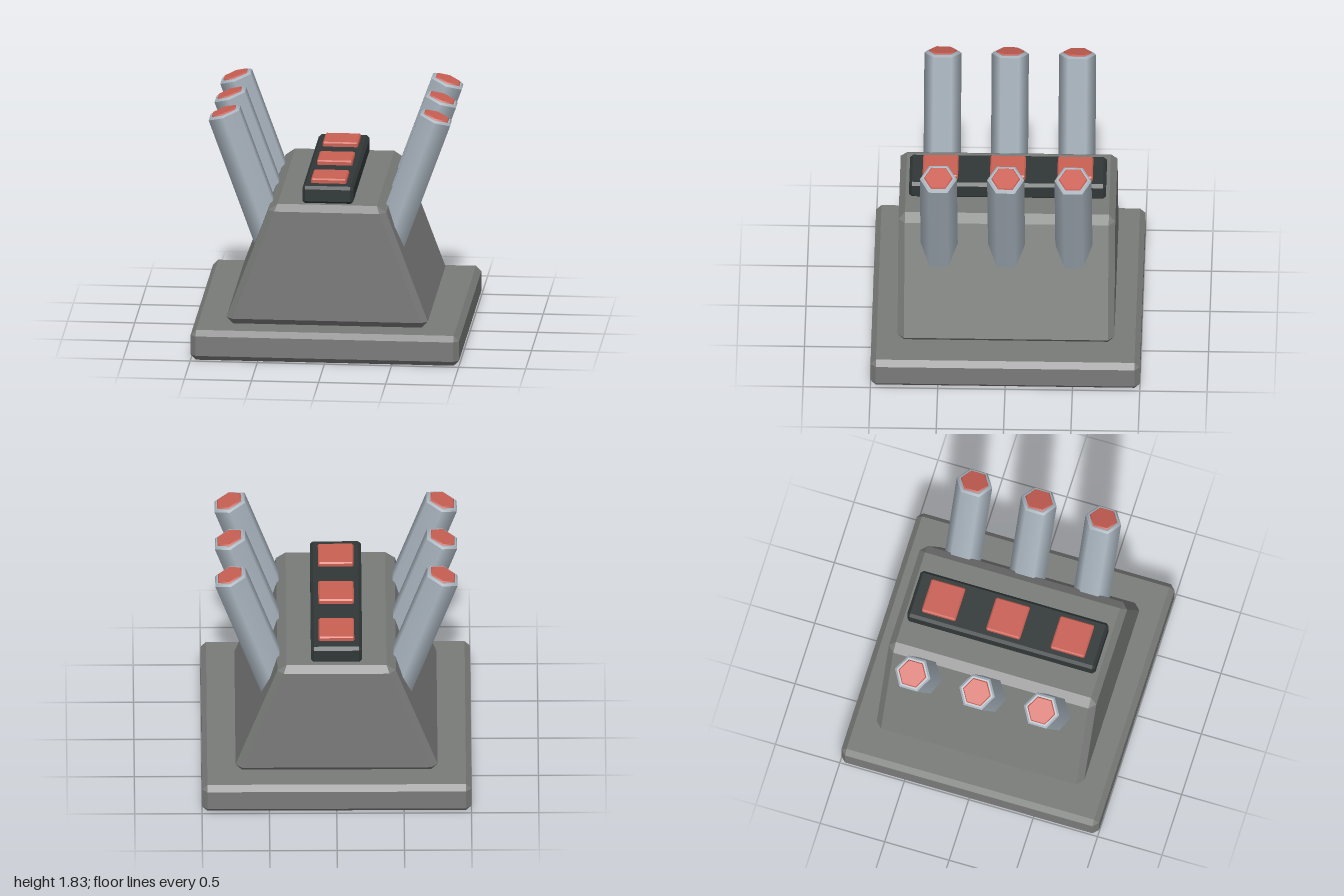
import * as THREE from 'three';
import { ConvexGeometry } from 'three/addons/geometries/ConvexGeometry.js';

const mat = (name, color) => new THREE.MeshStandardMaterial({ name, color });

// Block with all edges chamfered by c; the sides may taper in x from bottom to top.
function chamferedBlock(xBottom, xTop, y0, y1, hz, c, cTop = c) {
  const points = [];
  const add = (x, y, z) => {
    for (const sx of [-1, 1]) for (const sz of [-1, 1]) points.push(new THREE.Vector3(sx * x, y, sz * z));
  };
  add(xBottom - c, y0, hz - c);
  add(xBottom, y0 + c, hz - c);
  add(xBottom - c, y0 + c, hz);
  add(xTop, y1 - c, hz - c);
  add(xTop - c, y1 - c, hz);
  add(xTop - cTop, y1, hz - c);
  return new ConvexGeometry(points);
}

export function createModel() {
  const model = new THREE.Group();
  model.name = 'model';
  const grey = mat('stone grey', 0x797b79);
  const steel = mat('pale steel', 0xa9b4be);
  const dark = mat('dark panel', 0x313838);
  const red = mat('button red', 0xca6054);

  const part = (name, geometry, material, parent = model) => {
    const mesh = new THREE.Mesh(geometry, material);
    mesh.name = name;
    parent.add(mesh);
    return mesh;
  };

  // Base slab, tapered body and top panel
  part('base', chamferedBlock(1, 1, 0, 0.23, 1, 0.04), grey);
  part('body', chamferedBlock(0.75, 0.44, 0.23, 1.16, 0.805, 0.048, 0.07), grey);
  part('panel', chamferedBlock(0.19, 0.19, 1.155, 1.29, 0.73, 0.022), dark);

  // Hexagonal pieces with a vertex facing z
  const length = 1.2;
  const shaft = new THREE.CylinderGeometry(0.138, 0.138, length, 6, 1, true).translate(0, -length / 2, 0);
  const rim = new THREE.CylinderGeometry(0.122, 0.138, 0.014, 6).translate(0, 0.007, 0);
  const foot = new THREE.CircleGeometry(0.138, 6, Math.PI / 2).rotateX(Math.PI / 2).translate(0, -length, 0);
  const cap = new THREE.CylinderGeometry(0.1, 0.108, 0.01, 6).translate(0, 0.019, 0);
  const button = chamferedBlock(0.132, 0.132, 1.27, 1.325, 0.132, 0.01);

  for (const z of [-0.5, 0, 0.5]) {
    part('panelButton', button, red).position.z = z;
    // Mirrored pair of leaning rods
    for (const side of [-1, 1]) {
      const rod = new THREE.Group();
      rod.name = side > 0 ? 'leftRod' : 'rightRod';
      rod.position.set(side * 0.787, 1.776, z);
      rod.rotation.z = -side * THREE.MathUtils.degToRad(20);
      part('rodShaft', shaft, steel, rod);
      part('rodRim', rim, steel, rod);
      part('rodFoot', foot, steel, rod);
      part('rodCap', cap, red, rod);
      model.add(rod);
    }
  }
  return model;
}
